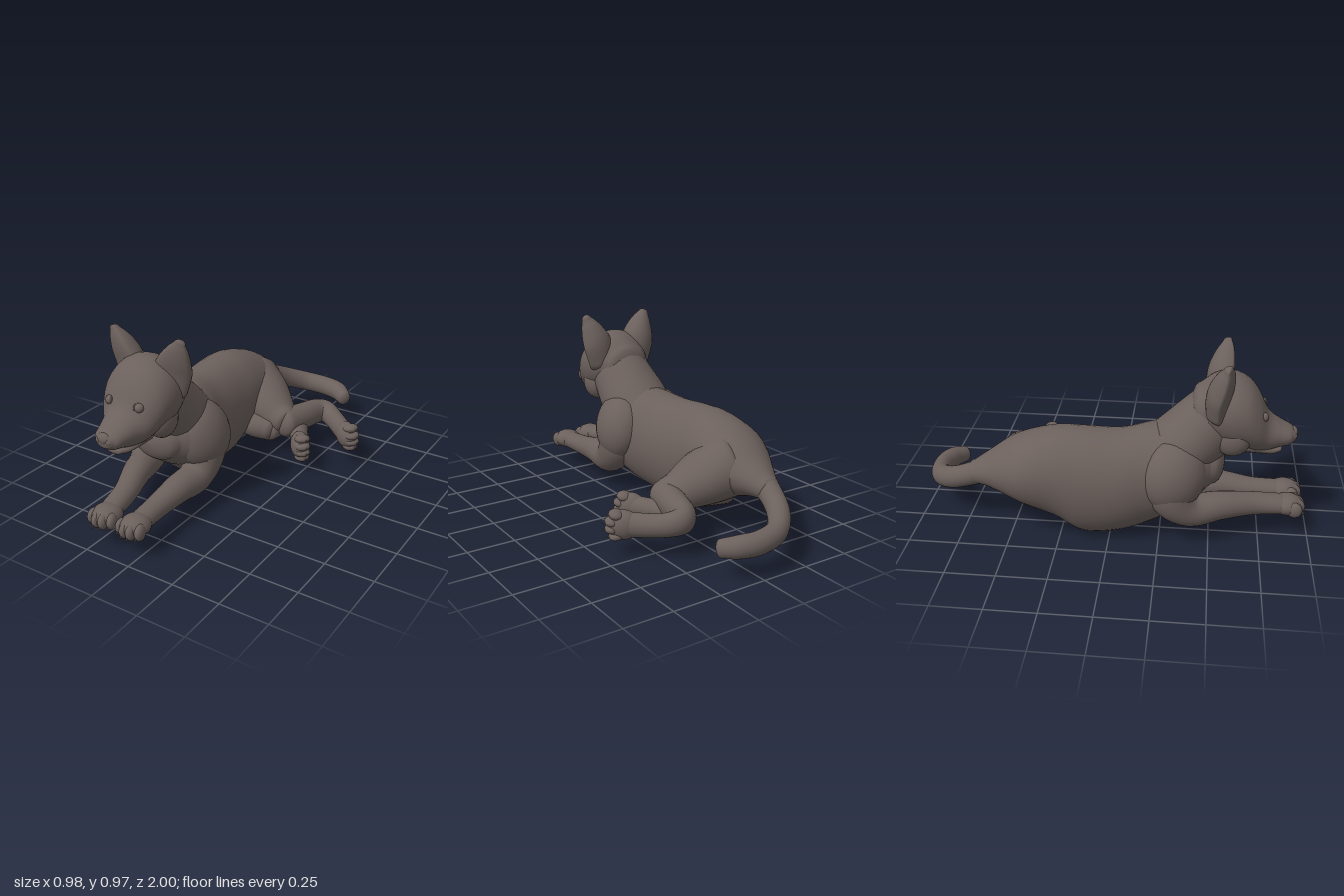
import * as THREE from 'three';

const fur = new THREE.MeshStandardMaterial({ color: 0x6b605c });
fur.name = 'dark brown fur';

const V = (a) => new THREE.Vector3(...a);

// Smooth loft through elliptical sections [x, y, z, sideRadius, upRadius] with rounded ends.
// up: reference direction, axis: fixed section normal, dent: hollows the upper half.
function loft(name, sections, { up = [0, 1, 0], axis = null, dent = 1, sides = 28, cap = 0.6 } = {}) {
  const path = new THREE.CatmullRomCurve3(sections.map((s) => V(s)), false, 'catmullrom', 0.5);
  const radii = new THREE.CatmullRomCurve3(sections.map((s) => new THREE.Vector3(s[3], s[4], 0)), false, 'catmullrom', 0.5);
  const steps = (sections.length - 1) * 6;
  const rings = [];
  const addRing = (t, bend) => {
    const T = axis ? V(axis).normalize() : path.getTangent(t);
    const U = V(up).addScaledVector(T, -V(up).dot(T)).normalize();
    const S = new THREE.Vector3().crossVectors(U, T);
    const r = radii.getPoint(t);
    const c = path.getPoint(t).addScaledVector(T, Math.sin(bend) * Math.min(r.x, r.y) * cap);
    rings.push({ c, S, U, rx: r.x * Math.cos(bend), ry: r.y * Math.cos(bend) });
  };
  for (let k = 5; k > 0; k--) addRing(0, (-k / 5) * 1.565);
  for (let i = 0; i <= steps; i++) addRing(i / steps, 0);
  for (let k = 1; k <= 5; k++) addRing(1, (k / 5) * 1.565);

  const pos = [], idx = [];
  rings.forEach(({ c, S, U, rx, ry }, i) => {
    for (let j = 0; j < sides; j++) {
      const a = (j / sides) * Math.PI * 2;
      const h = Math.sin(a) * (Math.sin(a) > 0 ? dent : 1);
      const p = c.clone().addScaledVector(S, Math.cos(a) * rx).addScaledVector(U, h * ry);
      pos.push(p.x, p.y, p.z);
      if (i === rings.length - 1) continue;
      const j2 = (j + 1) % sides;
      const A = i * sides + j, B = i * sides + j2, C = A + sides, D = B + sides;
      idx.push(A, B, C, B, D, C);
    }
  });
  const g = new THREE.BufferGeometry();
  g.setAttribute('position', new THREE.Float32BufferAttribute(pos, 3));
  g.setIndex(idx);
  g.computeVertexNormals();
  const m = new THREE.Mesh(g, fur);
  m.name = name;
  return m;
}

function ellipsoid(name, [x, y, z], [a, b, c], rot = [0, 0, 0]) {
  const m = new THREE.Mesh(new THREE.SphereGeometry(1, 24, 16), fur);
  m.position.set(x, y, z);
  m.scale.set(a, b, c);
  m.rotation.set(...rot);
  m.name = name;
  return m;
}

// Paw facing +z before turning, with four toes and claws
function paw(name, [x, y, z], yaw, roll) {
  const g = new THREE.Group();
  g.name = name;
  g.add(ellipsoid('pawPad', [0, 0, 0], [0.074, 0.053, 0.08]));
  for (const k of [-1.5, -0.5, 0.5, 1.5]) {
    const front = Math.abs(k) > 1 ? 0.032 : 0.05;
    g.add(ellipsoid('toe', [k * 0.035, -0.006, front], [0.025, 0.042, 0.039], [0, k * 0.12, 0]));
    const claw = new THREE.Mesh(new THREE.ConeGeometry(0.007, 0.04, 8), fur);
    claw.name = 'claw';
    claw.position.set(k * 0.036, -0.026, front + 0.04);
    claw.rotation.x = Math.PI / 2 + 0.45;
    g.add(claw);
  }
  g.position.set(x, y, z);
  g.rotation.set(0, yaw, roll, 'YXZ');
  return g;
}

export function createModel() {
  const model = new THREE.Group();
  model.name = 'lyingPup';

  // Torso from chest to rump
  model.add(loft('torso', [
    [-0.2, 0.385, 0.5, 0.14, 0.11], [-0.2, 0.38, 0.45, 0.19, 0.15],
    [-0.2, 0.375, 0.39, 0.225, 0.185],
    [-0.205, 0.35, 0.3, 0.23, 0.24], [-0.225, 0.32, 0.2, 0.215, 0.265],
    [-0.265, 0.29, 0.05, 0.205, 0.275], [-0.28, 0.29, -0.13, 0.203, 0.283],
    [-0.28, 0.33, -0.27, 0.2, 0.24], [-0.28, 0.34, -0.42, 0.195, 0.19],
    [-0.27, 0.335, -0.52, 0.165, 0.145], [-0.265, 0.315, -0.62, 0.11, 0.092],
    [-0.265, 0.29, -0.7, 0.065, 0.06],
  ], { axis: [0, 0, -1], sides: 40 }));

  // Curled tail
  model.add(loft('tail', [
    [-0.265, 0.32, -0.6, 0.08, 0.075], [-0.265, 0.275, -0.71, 0.06, 0.06],
    [-0.22, 0.22, -0.83, 0.056, 0.058], [-0.13, 0.18, -0.92, 0.053, 0.057],
    [-0.01, 0.165, -0.947, 0.053, 0.057], [0.09, 0.16, -0.925, 0.052, 0.055],
    [0.155, 0.15, -0.875, 0.04, 0.045],
  ]));

  // Neck
  model.add(loft('neck', [
    [-0.205, 0.37, 0.22, 0.17, 0.16], [-0.2, 0.48, 0.36, 0.19, 0.172],
    [-0.192, 0.58, 0.46, 0.172, 0.168], [-0.188, 0.68, 0.55, 0.15, 0.155],
  ], { up: [0, 1, -1], sides: 36, cap: 0.3 }));

  // Skull and muzzle
  const head = new THREE.Group();
  head.name = 'head';
  model.add(head);
  const cx = -0.188;
  head.add(loft('skull', [
    [cx, 0.68, 0.43, 0.13, 0.115], [cx, 0.685, 0.5, 0.17, 0.16],
    [cx, 0.675, 0.58, 0.186, 0.187], [cx, 0.655, 0.66, 0.176, 0.174],
    [cx, 0.615, 0.715, 0.15, 0.15], [cx, 0.568, 0.765, 0.112, 0.1],
    [cx, 0.555, 0.82, 0.09, 0.069], [cx, 0.548, 0.87, 0.072, 0.05],
    [cx, 0.548, 0.892, 0.05, 0.036],
  ], { axis: [0, 0, 1], sides: 40, cap: 0.4 }));
  head.add(loft('lowerJaw', [
    [cx, 0.505, 0.66, 0.1, 0.045], [cx, 0.492, 0.73, 0.088, 0.038],
    [cx, 0.476, 0.79, 0.066, 0.028], [cx, 0.476, 0.83, 0.045, 0.02],
  ], { axis: [0, 0, 1] }));
  head.add(ellipsoid('nose', [cx, 0.56, 0.89], [0.036, 0.029, 0.022]));
  for (let k = -2; k <= 2; k++) {
    head.add(ellipsoid('tooth', [cx + k * 0.012, 0.494, 0.838 - k * k * 0.002], [0.005, 0.007, 0.005]));
  }

  for (const s of [-1, 1]) {
    const X = (d) => cx + s * d;
    head.add(ellipsoid('nostril', [X(0.027), 0.55, 0.888], [0.021, 0.02, 0.02]));
    head.add(ellipsoid('cheek', [X(0.095), 0.575, 0.59], [0.075, 0.105, 0.1], [0, s * 0.2, s * 0.15]));
    head.add(ellipsoid('eye', [X(0.086), 0.673, 0.735], [0.024, 0.024, 0.024]));
    const lid = new THREE.Mesh(new THREE.TorusGeometry(0.024, 0.004, 8, 24), fur);
    lid.name = 'eyelid';
    lid.position.set(X(0.087), 0.673, 0.739);
    lid.rotation.set(-0.35, s * 0.5, 0, 'YXZ');
    head.add(lid);
    // Upright cupped ear
    head.add(loft('ear', [
      [X(0.115), 0.7, 0.54, 0.085, 0.085], [X(0.135), 0.79, 0.545, 0.094, 0.088],
      [X(0.157), 0.855, 0.555, 0.078, 0.08], [X(0.178), 0.91, 0.56, 0.053, 0.058],
      [X(0.194), 0.949, 0.56, 0.028, 0.03],
    ], { up: [s * 0.35, 0, 1], dent: 0.35 }));
  }

  // Front legs reaching forward
  const front = { up: [0, 1, 1] };
  model.add(ellipsoid('rightShoulder', [-0.345, 0.375, 0.315], [0.13, 0.185, 0.165], [0.35, 0.1, -0.25]));
  model.add(ellipsoid('leftShoulder', [-0.065, 0.375, 0.315], [0.13, 0.185, 0.165], [0.35, -0.1, 0.25]));
  model.add(loft('rightFrontLeg', [
    [-0.35, 0.4, 0.3, 0.1, 0.12], [-0.365, 0.27, 0.31, 0.105, 0.115],
    [-0.35, 0.185, 0.4, 0.09, 0.085], [-0.3, 0.185, 0.55, 0.074, 0.071],
    [-0.24, 0.172, 0.71, 0.062, 0.057], [-0.21, 0.16, 0.86, 0.06, 0.048],
  ], front));
  model.add(loft('leftFrontLeg', [
    [-0.06, 0.4, 0.3, 0.1, 0.12], [-0.045, 0.27, 0.31, 0.1, 0.115],
    [-0.045, 0.172, 0.4, 0.085, 0.088], [-0.048, 0.167, 0.55, 0.073, 0.071],
    [-0.05, 0.152, 0.71, 0.06, 0.056], [-0.042, 0.148, 0.86, 0.058, 0.048],
  ], front));
  model.add(paw('rightFrontPaw', [-0.203, 0.157, 0.892], 0.05, 0));
  model.add(paw('leftFrontPaw', [-0.04, 0.15, 0.885], 0, 0));

  // Hind legs folded out to the left side, upper one first
  model.add(loft('leftThigh', [
    [-0.24, 0.34, -0.445, 0.165, 0.165], [-0.11, 0.275, -0.385, 0.16, 0.14],
    [0.0, 0.22, -0.345, 0.115, 0.105], [0.065, 0.2, -0.32, 0.08, 0.085],
  ], { cap: 0.4 }));
  model.add(loft('leftLowerLeg', [
    [0.065, 0.2, -0.31, 0.08, 0.082], [0.1, 0.19, -0.45, 0.07, 0.078],
    [0.13, 0.185, -0.56, 0.06, 0.072], [0.18, 0.18, -0.595, 0.055, 0.065],
    [0.26, 0.165, -0.55, 0.052, 0.058], [0.375, 0.16, -0.445, 0.048, 0.062],
  ]));
  model.add(paw('leftHindPaw', [0.39, 0.16, -0.435], Math.atan2(0.8, 0.6), Math.PI / 2));
  model.add(loft('rightThigh', [
    [-0.25, 0.22, -0.36, 0.13, 0.12], [-0.12, 0.18, -0.29, 0.11, 0.095],
    [-0.01, 0.16, -0.28, 0.075, 0.075],
  ]));
  model.add(loft('rightLowerLeg', [
    [-0.02, 0.155, -0.28, 0.075, 0.07], [0.02, 0.15, -0.38, 0.06, 0.06],
    [0.085, 0.145, -0.42, 0.055, 0.057], [0.14, 0.142, -0.34, 0.052, 0.055],
    [0.205, 0.14, -0.24, 0.05, 0.06],
  ]));
  model.add(paw('rightHindPaw', [0.213, 0.14, -0.225], Math.atan2(0.6, 0.8), Math.PI / 2));

  return model;
}
